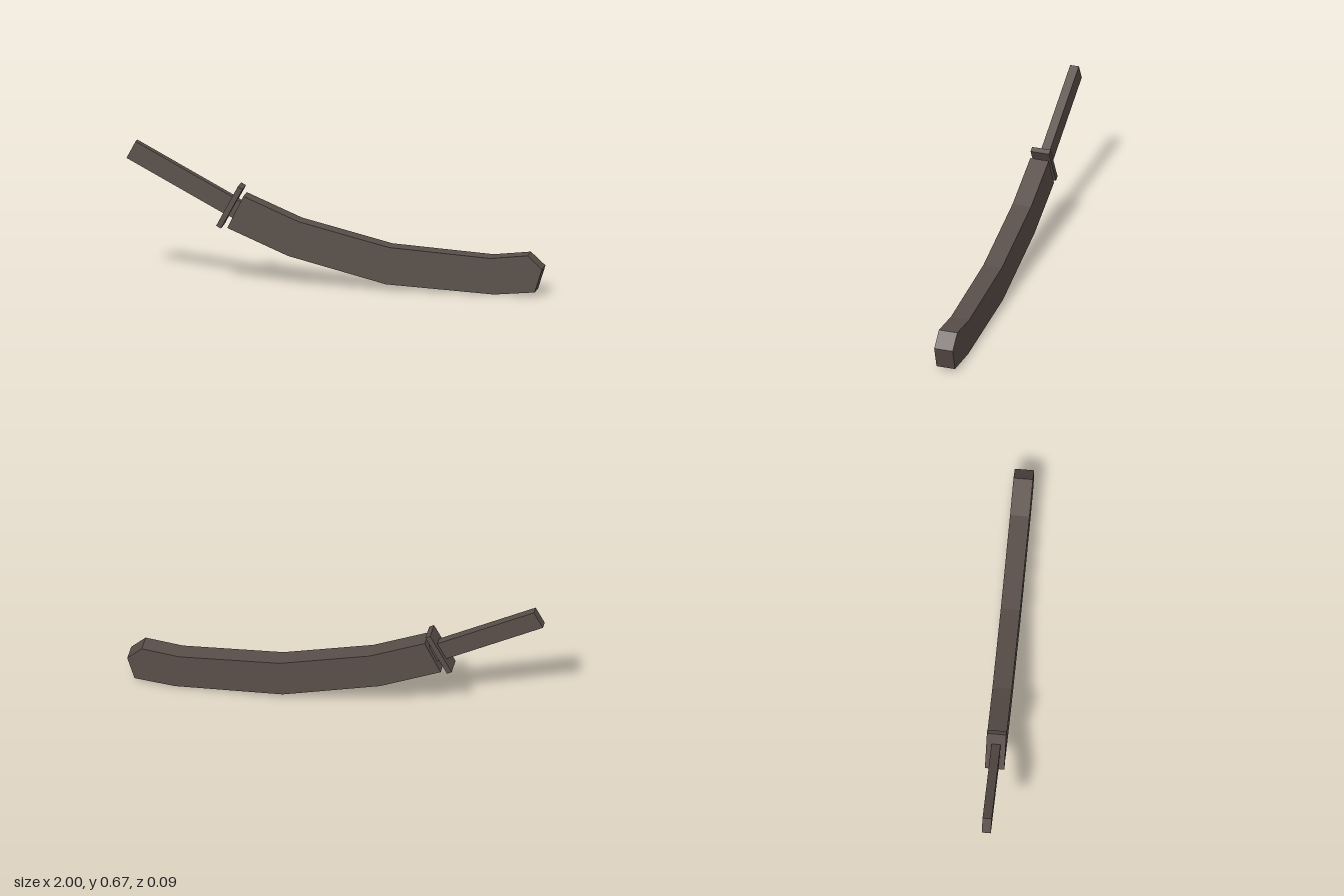
import * as THREE from 'three';

export function createModel() {
  const model = new THREE.Group();
  const darkBrown = new THREE.MeshStandardMaterial({ color: 0x5a4f4a });
  darkBrown.name = 'darkBrown';

  // Curved scabbard: outline runs along the top edge, round the tip, and back below
  const outline = [
    [-0.435, 0.43], [-0.17, 0.318], [0.265, 0.211], [0.75, 0.178], [0.93, 0.198], [1, 0.134],
    [0.965, 0.022], [0.77, 0.004], [0.25, 0.032], [-0.22, 0.15], [-0.512, 0.274],
  ].map(([x, y]) => new THREE.Vector2(x, y));
  const depth = 0.092;
  const scabbardGeometry = new THREE.ExtrudeGeometry(new THREE.Shape(outline), { depth, bevelEnabled: false });
  scabbardGeometry.translate(0, 0, -depth / 2);
  const scabbard = new THREE.Mesh(scabbardGeometry, darkBrown);
  scabbard.name = 'scabbard';
  model.add(scabbard);

  // Hilt: local x runs from the pommel end towards the scabbard, origin at the guard
  const hilt = new THREE.Group();
  hilt.name = 'hilt';
  hilt.position.set(-0.502, 0.373, 0);
  hilt.rotation.z = -0.492;
  model.add(hilt);

  const addBar = (name, x0, x1, height, width) => {
    const bar = new THREE.Mesh(new THREE.BoxGeometry(x1 - x0, height, width), darkBrown);
    bar.name = name;
    bar.position.x = (x0 + x1) / 2;
    hilt.add(bar);
  };
  addBar('handle', -0.541, -0.01, 0.092, 0.043);
  addBar('guard', -0.013, 0.013, 0.22, 0.092);
  addBar('bladeCollar', 0.01, 0.06, 0.088, 0.04);

  return model;
}
